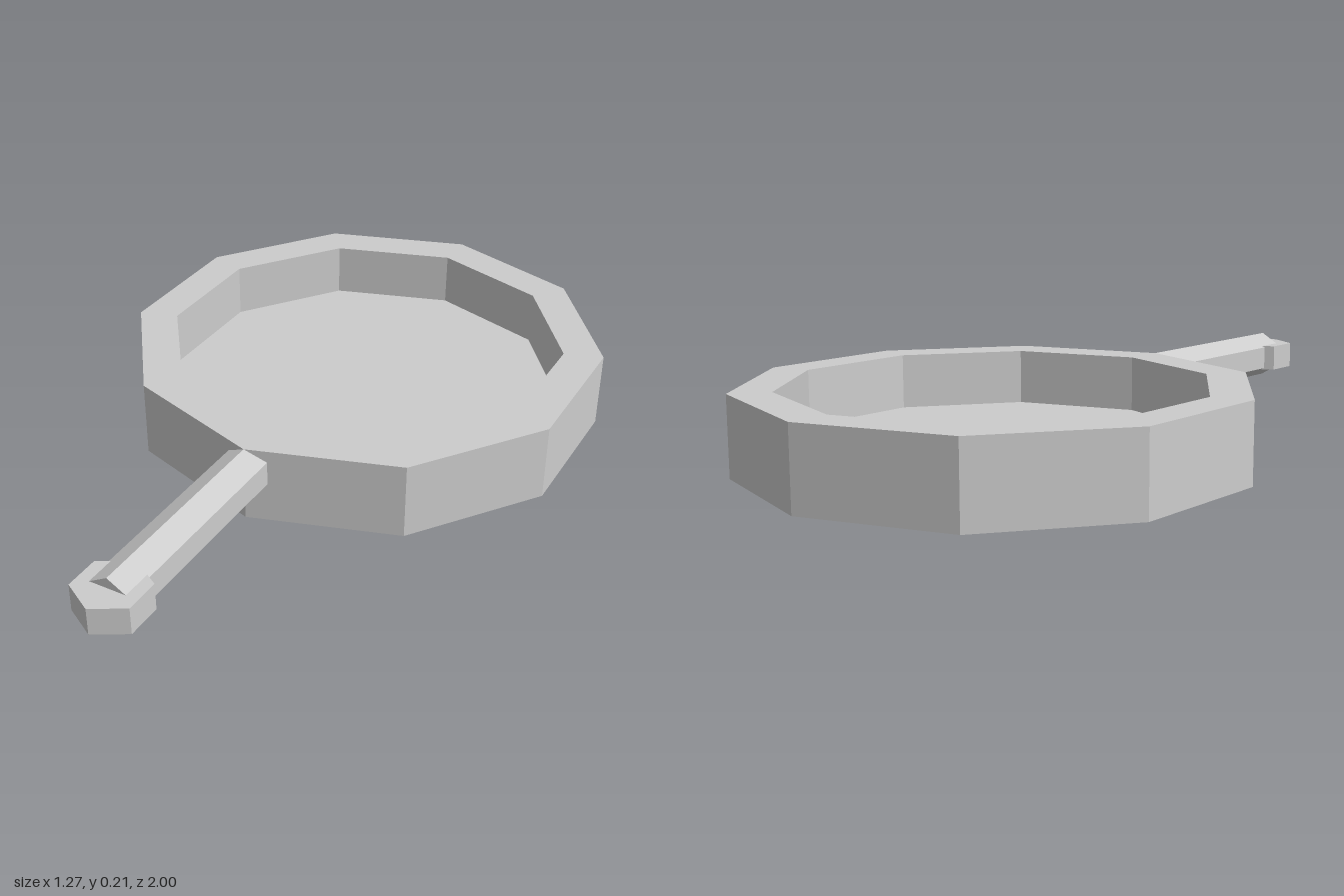
import * as THREE from 'three';

export function createModel() {
  const group = new THREE.Group();
  const metal = new THREE.MeshStandardMaterial({ color: 0xcccccc, flatShading: true });
  metal.name = 'grey metal';

  const add = (name, geometry, y, z) => {
    const mesh = new THREE.Mesh(geometry, metal);
    mesh.name = name;
    mesh.position.set(0, y, z);
    group.add(mesh);
  };

  // Ten-sided pan: underside, outer wall, rim, inner wall, recessed floor
  const profile = [[0, 0], [0.67, 0], [0.67, 0.212], [0.56, 0.212], [0.56, 0.06], [0, 0.06]]
    .map(([r, y]) => new THREE.Vector2(r, y));
  add('pan', new THREE.LatheGeometry(profile, 10), 0, -0.33);

  // Hexagonal handle with a ridge on top, set into the pan wall
  const handle = new THREE.CylinderGeometry(0.066, 0.066, 0.62, 6).rotateX(Math.PI / 2);
  add('handle', handle, 0.146, 0.61);

  // Flat hexagonal knob at the end of the handle
  add('handleKnob', new THREE.CylinderGeometry(0.096, 0.096, 0.074, 6), 0.146, 0.904);

  return group;
}
